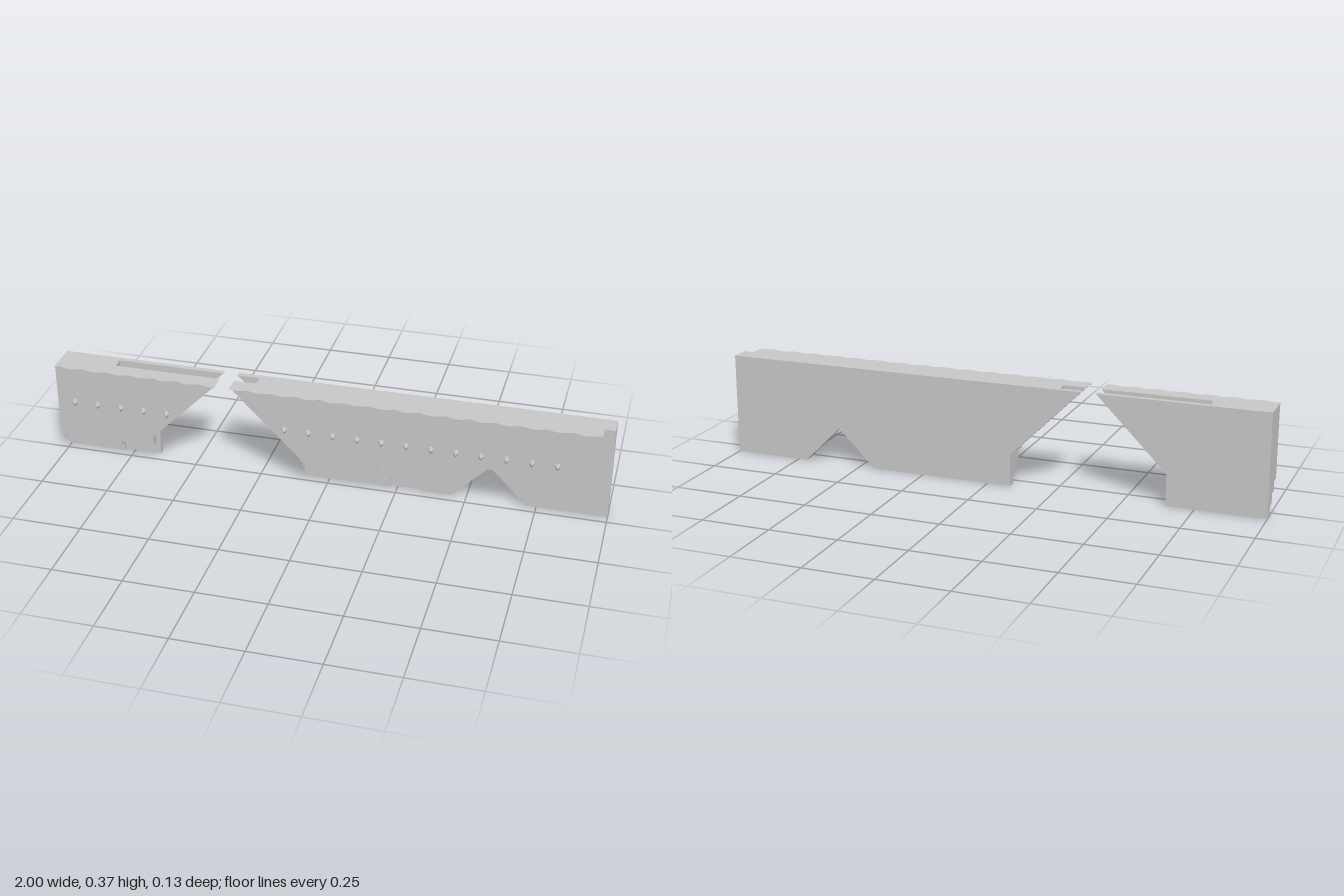
import * as THREE from 'three';

const TOP = 0.371, PITCH = 0.0878;

export function createModel() {
  const model = new THREE.Group();
  const stone = new THREE.MeshStandardMaterial({ color: 0xc6c6c6 });
  stone.name = 'stone grey';

  const add = (name, geometry, parent) => {
    const mesh = new THREE.Mesh(geometry, stone);
    mesh.name = name;
    parent.add(mesh);
    return mesh;
  };

  // Flat slab between two depths, from an outline in x and y
  const slab = (name, points, z0, z1, parent) => {
    const shape = new THREE.Shape(points.map(([x, y]) => new THREE.Vector2(x, y)));
    const geometry = new THREE.ExtrudeGeometry(shape, { depth: z1 - z0, bevelEnabled: false });
    geometry.translate(0, 0, z0);
    return add(name, geometry, parent);
  };

  // Quarter curve sweeping up to the top edge, clipped at the end of the wall
  const sweep = (rx, ry, from = 0) => {
    const points = [];
    for (let i = 0; i <= 20; i++) {
      const a = from + (Math.PI / 2 - from) * i / 20;
      const x = 0.77 + rx * Math.sin(a);
      if (x > 1) {
        points.push([1, TOP - ry * Math.sqrt(1 - (0.23 / rx) ** 2)], [1, TOP]);
        break;
      }
      points.push([x, TOP - ry * Math.cos(a)]);
    }
    return points;
  };

  // Scalloped eave: each lobe tapers back to the wall face and thins at its ends
  const eave = (x0, x1, phase, parent) => {
    const wave = x => Math.abs(Math.cos(Math.PI * (x - phase) / PITCH));
    const shape = new THREE.Shape();
    shape.moveTo(x0, -0.05);
    const n = Math.round((x1 - x0) / PITCH * 10);
    for (let i = 0; i <= n; i++) {
      const x = x0 + (x1 - x0) * i / n;
      shape.lineTo(x, -(0.053 + 0.012 * wave(x)));
    }
    shape.lineTo(x1, -0.05);
    const geometry = new THREE.ExtrudeGeometry(shape, { depth: 0.007, bevelEnabled: false });
    geometry.rotateX(-Math.PI / 2);
    geometry.translate(0, TOP - 0.007, 0);
    const p = geometry.attributes.position;
    for (let i = 0; i < p.count; i++) {
      if (p.getY(i) < TOP - 0.004) {
        p.setY(i, TOP - 0.001 - 0.006 * wave(p.getX(i)));
        p.setZ(i, Math.min(p.getZ(i), 0.0502));
      }
    }
    geometry.computeVertexNormals();
    add('scallopedEave', geometry, parent);
  };

  // Teardrop stud: shallow pyramid drawn out to a point below
  const studGeometry = new THREE.ConeGeometry(0.011, 0.012, 8).toNonIndexed();
  studGeometry.rotateX(Math.PI / 2);
  const sp = studGeometry.attributes.position;
  for (let i = 0; i < sp.count; i++) {
    const y = sp.getY(i);
    if (y < -0.01) sp.setY(i, -0.019);
    else if (y > 0.01) sp.setY(i, 0.014);
    else if (sp.getZ(i) > 0) sp.setY(i, -0.004);
  }
  studGeometry.computeVertexNormals();
  const studs = (x, count, parent) => {
    for (let i = 0; i < count; i++) {
      add('stud', studGeometry, parent).position.set(x + i * PITCH, 0.23, 0.056);
    }
  };

  // Short wall: back plate, inner block beside the slot, stepped front
  const short = new THREE.Group();
  short.name = 'shortWall';
  const leftSide = bottom => [[-1, bottom], [-0.65, bottom], [-0.65, 0.115], [-0.395, TOP], [-1, TOP]];
  const block = bottom => [[-1, bottom], [-0.788, bottom], [-0.788, TOP], [-1, TOP]];
  slab('backPlate', leftSide(0), -0.065, -0.045, short);
  slab('innerBase', block(0), -0.045, -0.031, short);
  slab('innerStep', block(0.035), -0.031, -0.003, short);
  slab('middleStep', leftSide(0.072), -0.003, 0.023, short);
  slab('frontWall', leftSide(0.107), 0.023, 0.05, short);
  eave(-1, -0.395, -0.935, short);
  studs(-0.935, 5, short);
  model.add(short);

  // Long wall: notched back plate and stepped layers with a rising curved rim
  const long = new THREE.Group();
  long.name = 'longWall';
  const slope = [[-0.342, TOP], [-0.085, 0.115]];
  const slotted = [[-0.26, TOP], [-0.26, 0.29], [-0.085, 0.115]];
  const foot = [[0.443, 0], [0.58, 0.137], [0.717, 0], [1, 0], [1, TOP]];
  const lowRim = [[0.31, 0.156], ...sweep(0.234, 0.215)];
  const highRim = [[0.295, 0.178], ...sweep(0.193, 0.193)];

  // Round-topped opening through the bottom edge, running from left to right
  const arch = r => {
    const points = [], dip = Math.asin(0.03 / r);
    for (let i = 0; i <= 32; i++) {
      const a = Math.PI + dip - (Math.PI + 2 * dip) * i / 32;
      points.push([0.283 + r * Math.cos(a), Math.max(0, 0.03 + r * Math.sin(a))]);
    }
    return points;
  };

  slab('backPlate', [...slope, [-0.085, 0], ...foot], -0.065, -0.045, long);
  slab('archInnerLayer', [...slotted, [-0.085, 0], ...arch(0.056), ...foot], -0.045, -0.04, long);
  slab('archOuterLayer', [...slotted, [-0.085, 0], ...arch(0.062), ...foot], -0.04, -0.034, long);
  slab('lowerStep', [...slotted, [-0.085, 0.035], [0.175, 0.035], ...lowRim], -0.034, -0.003, long);
  slab('rimStep', [...slope, [-0.085, 0.072], [0.213, 0.072], ...lowRim], -0.003, 0.005, long);
  slab('middleStep', [...slope, [-0.085, 0.072], [0.175, 0.072], ...highRim], 0.005, 0.023, long);
  slab('frontWall', [...slope, [-0.085, 0.107], [0.205, 0.107], ...highRim], 0.023, 0.043, long);
  slab('frontFace', [...slope, [-0.085, 0.107], [0.195, 0.107], [0.195, 0.142], [0.24, 0.142],
    [0.295, 0.178], [0.8, 0.181], [0.8, 0.213], [0.873, 0.213], ...sweep(0.193, 0.193, 0.6)],
  0.043, 0.05, long);
  eave(-0.342, 0.963, -0.145, long);
  studs(-0.145, 12, long);
  model.add(long);

  return model;
}
